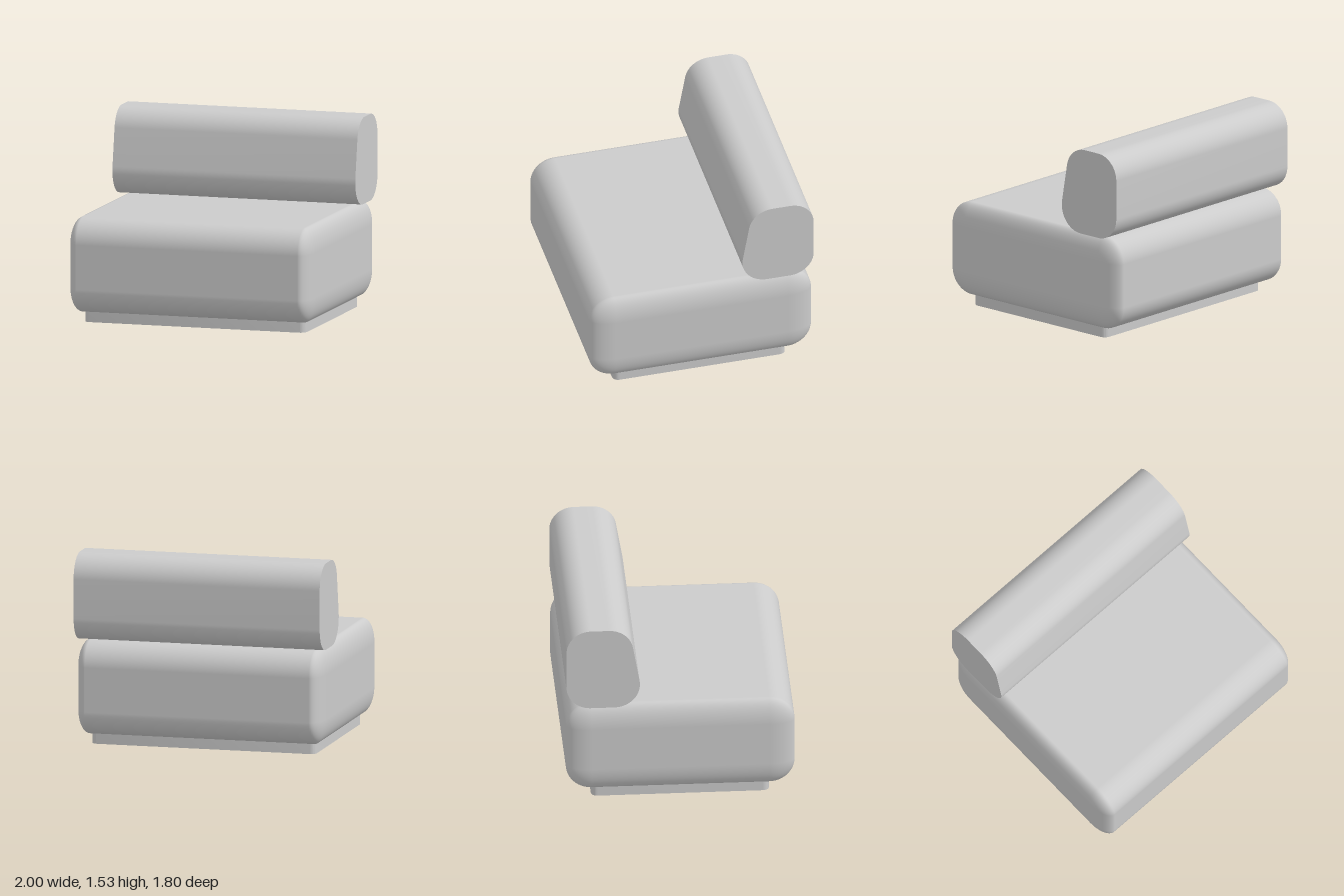
import * as THREE from 'three';
import { RoundedBoxGeometry } from 'three/addons/geometries/RoundedBoxGeometry.js';
import { toCreasedNormals } from 'three/addons/utils/BufferGeometryUtils.js';

const material = new THREE.MeshStandardMaterial({ color: 0xcccccc });

function addPart(group, name, geometry) {
  const mesh = new THREE.Mesh(geometry, material);
  mesh.name = name;
  group.add(mesh);
  return mesh;
}

// Straight extrusion with smooth rounded sides and sharp end caps, centred on its depth
function extrude(shape, depth) {
  const geometry = new THREE.ExtrudeGeometry(shape, { depth, bevelEnabled: false, curveSegments: 12 });
  geometry.translate(0, 0, -depth / 2);
  return toCreasedNormals(geometry, Math.PI / 6);
}

// Closed polygon whose corners [x, y, radius] are rounded by circular arcs
function roundedShape(corners) {
  const path = new THREE.Shape();
  const n = corners.length;
  corners.forEach(([x, y, r], i) => {
    const p = new THREE.Vector2(x, y);
    const [px, py] = corners[(i + n - 1) % n];
    const [nx, ny] = corners[(i + 1) % n];
    const u = new THREE.Vector2(px, py).sub(p).normalize();
    const v = new THREE.Vector2(nx, ny).sub(p).normalize();
    const half = Math.acos(u.dot(v)) / 2;
    const c = u.clone().add(v).normalize().multiplyScalar(r / Math.sin(half)).add(p);
    const reach = r / Math.tan(half);
    const a = u.multiplyScalar(reach).add(p).sub(c);
    const b = v.multiplyScalar(reach).add(p).sub(c);
    path.absarc(c.x, c.y, r, Math.atan2(a.y, a.x), Math.atan2(b.y, b.x), false);
  });
  path.closePath();
  return path;
}

export function createModel() {
  const group = new THREE.Group();
  group.name = 'loungeChair';

  // Recessed plinth with slightly rounded corners in plan
  const w = 0.91, d = 0.7, r = 0.05;
  const plinth = extrude(roundedShape([[-w, -d, r], [w, -d, r], [w, d, r], [-w, d, r]]), 0.12);
  plinth.rotateX(-Math.PI / 2);
  addPart(group, 'plinth', plinth).position.y = 0.06;

  // Seat cushion: rounding is tighter across the width than in height and depth
  const squash = 0.45;
  const seat = new RoundedBoxGeometry(2 / squash, 0.755, 1.8, 8, 0.2);
  seat.scale(squash, 1, 1);
  addPart(group, 'seatCushion', seat).position.y = 0.4625;

  // Back cushion: side profile in (z, y) with a leaning front, run across the full width
  const back = extrude(roundedShape([
    [-0.9, 0.84, 0.19], [-0.285, 0.84, 0.2], [-0.405, 1.53, 0.19], [-0.9, 1.53, 0.19],
  ]), 2);
  back.rotateY(-Math.PI / 2);
  addPart(group, 'backCushion', back);

  return group;
}
